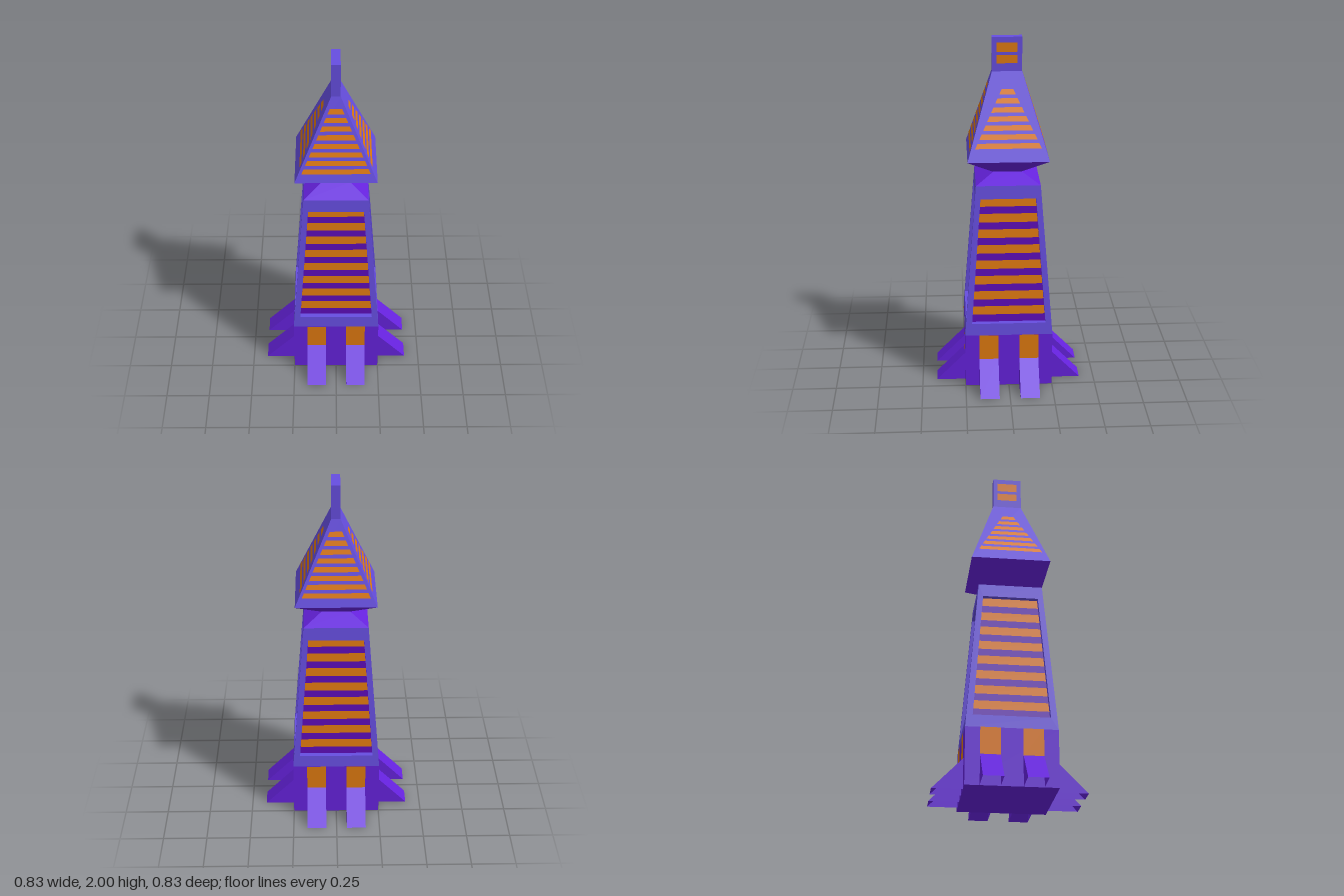
import * as THREE from 'three';

const mat = (name, color, side = THREE.FrontSide) => {
  const m = new THREE.MeshStandardMaterial({ color, side });
  m.name = name;
  return m;
};

// flat-shaded geometry from convex polygons (counter-clockwise corners)
function faces(polys) {
  const pos = [];
  for (const p of polys)
    for (let i = 1; i < p.length - 1; i++) pos.push(...p[0], ...p[i], ...p[i + 1]);
  const g = new THREE.BufferGeometry();
  g.setAttribute('position', new THREE.Float32BufferAttribute(pos, 3));
  g.computeVertexNormals();
  return g;
}

// upright trapezoid facing +z: half width w and depth z at heights y0 and y1
const trapezoid = (y0, w0, z0, y1, w1, z1) =>
  [[-w0, y0, z0], [w0, y0, z0], [w1, y1, z1], [-w1, y1, z1]];

// four-sided closed frustum between two rectangles
function frustum(y0, x0, z0, y1, x1, z1) {
  const ring = (y, x, z) => [[-x, y, z], [x, y, z], [x, y, -z], [-x, y, -z]];
  const a = ring(y0, x0, z0), b = ring(y1, x1, z1);
  const polys = [[...a].reverse(), b];
  for (let i = 0; i < 4; i++) {
    const j = (i + 1) % 4;
    polys.push([a[i], a[j], b[j], b[i]]);
  }
  return faces(polys);
}

const lerp = THREE.MathUtils.lerp;

export function createModel() {
  const purple = mat('purple', 0x6622de, THREE.DoubleSide);
  const violet = mat('blueViolet', 0x664ee0);
  const deep = mat('deepPurple', 0x5c0cb6);
  const orange = mat('orange', 0xe07a10);

  const model = new THREE.Group();
  model.name = 'tower';
  const add = (name, geo, material, parent = model) => {
    const m = new THREE.Mesh(geo, material);
    m.name = name;
    parent.add(m);
    return m;
  };

  // stacked body
  add('base', frustum(0, 0.25, 0.25, 0.32, 0.25, 0.25), purple);
  add('neck', frustum(1.2, 0.18, 0.18, 1.25, 0.08, 0.08), purple);
  add('roofUnderside', frustum(1.25, 0.08, 0.08, 1.35, 0.225, 0.225), purple);
  add('roof', frustum(1.35, 0.225, 0.225, 1.81, 0.025, 0.083), violet);
  add('spire', frustum(1.81, 0.025, 0.083, 2, 0.025, 0.083), violet);

  // shaft: outer slope, and the recessed opening inside it
  const B = 0.32, T = 1.2, b = 0.39, t = 1.125, depth = 0.03;
  const outer = y => lerp(0.25, 0.18, (y - B) / (T - B));
  const slot = y => lerp(0.21, 0.155, (y - b) / (t - b));
  const at = (x, y, d = 0) => [x, y, outer(y) - d];
  const O = [at(-0.25, B), at(0.25, B), at(0.18, T), at(-0.18, T)];
  const corners = d => [at(-slot(b), b, d), at(slot(b), b, d), at(slot(t), t, d), at(-slot(t), t, d)];
  const I = corners(0), R = corners(depth);
  const framePolys = [];
  for (let i = 0; i < 4; i++) {
    const j = (i + 1) % 4;
    framePolys.push([O[i], O[j], I[j], I[i]], [I[i], I[j], R[j], R[i]]);
  }
  const frameGeo = faces(framePolys);
  const panelGeo = faces([R]);

  // slats across the recessed panel
  const slats = [];
  for (let i = 0; i < 8; i++) {
    const y0 = 0.435 + i * 0.0912, y1 = y0 + 0.05, d = depth - 0.004;
    slats.push(trapezoid(y0, slot(y0) - 0.001, outer(y0) - d, y1, slot(y1) - 0.001, outer(y1) - d));
  }
  const slatGeo = faces(slats);

  // roof stripes; edge is the roof depth at the top of that face
  const roofStripes = (count, start, pitch, h, w0, w1, edge) => {
    const end = start + (count - 1) * pitch + h;
    const w = y => lerp(w0, w1, (y - start) / (end - start));
    const z = y => lerp(0.225, edge, (y - 1.35) / 0.46) + 0.003;
    const polys = [];
    for (let i = 0; i < count; i++) {
      const y0 = start + i * pitch, y1 = y0 + h;
      polys.push(trapezoid(y0, w(y0), z(y0), y1, w(y1), z(y1)));
    }
    return faces(polys);
  };
  const frontStripes = roofStripes(8, 1.4, 0.0455, 0.027, 0.187, 0.033, 0.083);
  const sideStripes = roofStripes(7, 1.42, 0.0455, 0.027, 0.182, 0.032, 0.025);

  // sloping buttresses, open below, with windows above them
  const feet = [], windows = [];
  for (const c of [-0.115, 0.115]) {
    const l = c - 0.055, r = c + 0.055, h = 0.17, z0 = 0.25, z1 = 0.417;
    feet.push(
      [[l, 0, z1], [r, 0, z1], [r, h, z0], [l, h, z0]],
      [[r, 0, z1], [r, 0, z0], [r, h, z0]],
      [[l, 0, z0], [l, 0, z1], [l, h, z0]]);
    windows.push([[l, h, 0.253], [r, h, 0.253], [r, 0.32, 0.253], [l, 0.32, 0.253]]);
  }
  const footGeo = faces(feet), windowGeo = faces(windows);

  // spire windows on the broad faces
  const spireGeo = faces([[1.855, 1.9], [1.918, 1.97]].map(
    ([y0, y1]) => trapezoid(y0, 0.058, 0.028, y1, 0.058, 0.028)));

  // repeat the details on all four sides
  ['front', 'left', 'back', 'right'].forEach((name, i) => {
    const side = new THREE.Group();
    side.name = name + 'Side';
    side.rotation.y = i * Math.PI / 2;
    model.add(side);
    add('shaftFrame', frameGeo, violet, side);
    add('recessedPanel', panelGeo, deep, side);
    add('panelSlats', slatGeo, orange, side);
    add('buttresses', footGeo, purple, side);
    add('baseWindows', windowGeo, orange, side);
    add('roofStripes', i % 2 ? sideStripes : frontStripes, orange, side);
    if (i % 2) add('spireWindows', spireGeo, orange, side);
  });

  return model;
}
